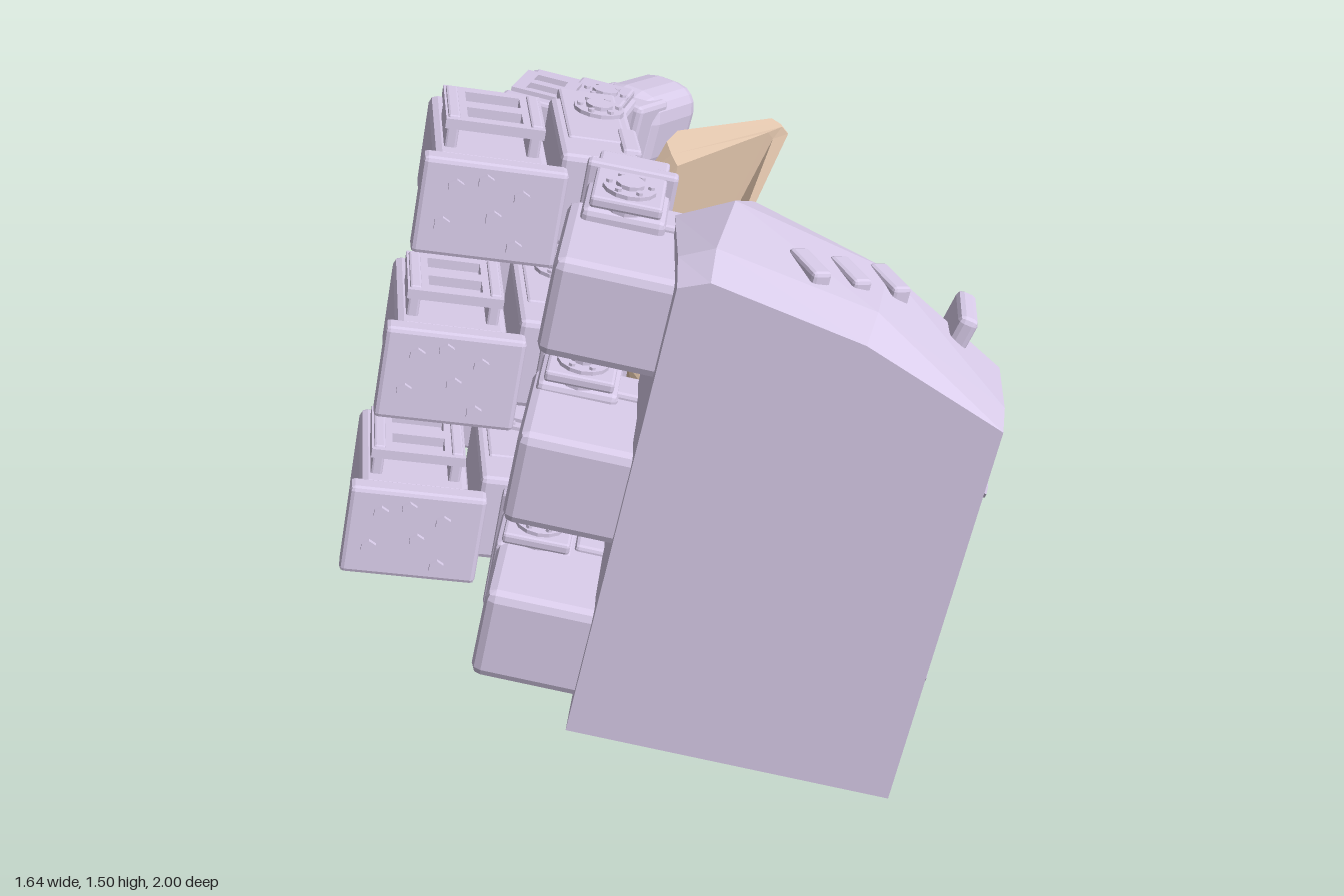
import * as THREE from 'three';
import { RoundedBoxGeometry } from 'three/addons/geometries/RoundedBoxGeometry.js';

const shell = new THREE.MeshStandardMaterial({ color: 0xdacdeb, flatShading: true });
const tan = new THREE.MeshStandardMaterial({ color: 0xf0d2b8, flatShading: true });
const V = (x, y, z) => new THREE.Vector3(x, y, z);

// Palm frame: right, up (the direction the fingers are stacked in), outward normal
const R = V(0.935, -0.197, 0.295), U = V(0.207, 0.971, -0.123), N = V(-0.262, 0.176, 0.949);
const BACK = N.clone().negate();

// Group at a point with local z along forward and local y near up
function frame(name, pos, forward) {
  const z = forward.clone().normalize();
  const x = U.clone().cross(z).normalize();
  const y = z.clone().cross(x);
  const g = new THREE.Group();
  g.name = name;
  g.quaternion.setFromRotationMatrix(new THREE.Matrix4().makeBasis(x, y, z));
  g.position.copy(pos);
  return g;
}

function add(parent, name, geo, x = 0, y = 0, z = 0, mat = shell) {
  const m = new THREE.Mesh(geo, mat);
  m.name = name;
  m.position.set(x, y, z);
  parent.add(m);
  return m;
}

// Box with chamfered edges
function box(parent, name, w, h, d, x, y, z, r = 0.015, seg = 1) {
  return add(parent, name, new RoundedBoxGeometry(w, h, d, seg, r), x, y, z);
}

// Skin through closed loops listed front to back, with both ends capped
function loft(loops) {
  const p = [], n = loops[0].length;
  const tri = (a, b, c) => p.push(...a, ...b, ...c);
  for (let k = 0; k + 1 < loops.length; k++) {
    for (let i = 0; i < n; i++) {
      const j = (i + 1) % n, A = loops[k], B = loops[k + 1];
      tri(A[i], B[i], B[j]);
      tri(A[i], B[j], A[j]);
    }
  }
  const F = loops[0], L = loops[loops.length - 1];
  for (let i = 1; i + 1 < n; i++) {
    tri(F[0], F[i], F[i + 1]);
    tri(L[0], L[i + 1], L[i]);
  }
  const g = new THREE.BufferGeometry();
  g.setAttribute('position', new THREE.Float32BufferAttribute(p, 3));
  g.computeVertexNormals();
  return g;
}

// Rectangular plate with two slots, lying flat in local xz
function slottedPlate(w, d, t) {
  const s = new THREE.Shape([[-w, -d], [w, -d], [w, d], [-w, d]].map(([x, y]) => new THREE.Vector2(x / 2, y / 2)));
  for (const k of [-1, 1]) {
    const c = k * d * 0.23, a = w * 0.28, b = d * 0.14;
    s.holes.push(new THREE.Path([[-a, c - b], [-a, c + b], [a, c + b], [a, c - b]].map(([x, y]) => new THREE.Vector2(x, y))));
  }
  return new THREE.ExtrudeGeometry(s, { depth: t, bevelEnabled: false }).rotateX(-Math.PI / 2);
}

// Joint hub: stepped disc with a ring of bolts, on the local y axis
function hub(parent, x, z, height) {
  const g = new THREE.Group();
  g.name = 'jointHub';
  g.position.set(x, 0, z);
  parent.add(g);
  add(g, 'hubDrum', new THREE.CylinderGeometry(0.065, 0.065, height, 14));
  add(g, 'hubCap', new THREE.CylinderGeometry(0.035, 0.035, height + 0.02, 10));
  for (let i = 0; i < 6; i++) {
    const a = i * Math.PI / 3;
    add(g, 'hubBolt', new THREE.CylinderGeometry(0.009, 0.009, height + 0.015, 6), 0.05 * Math.cos(a), 0, 0.05 * Math.sin(a));
  }
}

function screw(parent, x, y, z) {
  add(parent, 'screw', new THREE.CylinderGeometry(0.021, 0.021, 0.02, 6).rotateX(Math.PI / 2), x, y, z);
}

function makePalm() {
  const g = new THREE.Group();
  g.name = 'palm';
  g.quaternion.setFromRotationMatrix(new THREE.Matrix4().makeBasis(R, U, N));
  g.position.set(0.43, 0.05, 0.99);
  const loop = (z, pts) => pts.map(([x, y]) => [x, y, z]);
  add(g, 'palmShell', loft([
    loop(0, [[0, 0], [0, 1.06], [-0.35, 1.2], [-0.72, 1.27], [-0.79, 1.24], [-0.81, 0]]),
    loop(-0.12, [[0.01, 0.14], [0.01, 1.06], [-0.33, 1.23], [-0.72, 1.3], [-0.8, 1.26], [-0.81, 0.05]]),
    loop(-0.38, [[0.02, 0.13], [0.02, 1.03], [-0.3, 1.22], [-0.69, 1.31], [-0.82, 1.24], [-0.81, 0.1]]),
    loop(-0.49, [[-0.02, 0.2], [-0.01, 0.96], [-0.28, 1.16], [-0.64, 1.27], [-0.68, 1.23], [-0.67, 0.18]]),
  ]));
  // Ribs on the upper edge and screws around the side
  for (const [x, y, z] of [[-0.5, 1.26, -0.2], [-0.4, 1.235, -0.26], [-0.3, 1.21, -0.32]]) {
    box(g, 'topRib', 0.05, 0.05, 0.13, x, y, z, 0.01).rotation.y = 0.5;
  }
  box(g, 'topPeg', 0.05, 0.16, 0.16, -0.11, 1.1, -0.37, 0.015).rotation.z = -0.2;
  for (const [y, z] of [[0.3, -0.12], [0.85, -0.1], [0.5, -0.3]]) {
    add(g, 'sideScrew', new THREE.CylinderGeometry(0.018, 0.018, 0.02, 6).rotateZ(Math.PI / 2), 0.012, y, z);
  }
  // Finger sockets along one side, thumb socket at the lower back
  for (const y of [0.19, 0.64, 1.1]) {
    box(g, 'fingerSocket', 0.33, 0.25, 0.35, -0.905, y, -0.22, 0.025);
    box(g, 'socketFlange', 0.12, 0.28, 0.1, -0.82, y, -0.36, 0.01);
  }
  box(g, 'thumbSocket', 0.37, 0.42, 0.24, -0.16, 0.23, -0.44, 0.03);
  box(g, 'thumbSocketFoot', 0.28, 0.12, 0.2, -0.2, 0.06, -0.42, 0.02);
  return g;
}

// i counts from the top finger down; the fingers converge towards their tips
function makeFinger(i) {
  const g = new THREE.Group();
  g.name = 'finger';
  const at = (x, y, z, dx, dy, dz) => V(x + i * dx, y + i * dy, z + i * dz);

  const knuckle = frame('knuckle', at(-0.09, 1.24, 0.2, -0.125, -0.45, 0.055), BACK);
  box(knuckle, 'knuckleBlock', 0.2, 0.25, 0.24, 0, 0, 0);
  for (const s of [-1, 1]) box(knuckle, 'knuckleFork', 0.17, 0.03, 0.28, 0, s * 0.15, 0.01, 0.008);
  box(knuckle, 'knucklePlate', 0.22, 0.35, 0.04, 0, 0, 0.06, 0.01);
  hub(knuckle, 0, -0.05, 0.35);

  const prox = frame('proximalLink', at(-0.1, 1.17, -0.19, -0.125, -0.435, 0.07), V(0.08, -0.2, -0.95));
  box(prox, 'proximalBody', 0.2, 0.24, 0.42, 0, 0.01, 0.01);
  box(prox, 'proximalMotor', 0.28, 0.25, 0.43, 0.27, -0.01, -0.05, 0.02);
  box(prox, 'motorFrontPlate', 0.35, 0.25, 0.06, 0.26, -0.01, -0.265, 0.012);
  for (const [x, y] of [[0.19, 0.04], [0.35, 0.05], [0.25, -0.02], [0.37, -0.05], [0.19, -0.09], [0.28, 0.07]]) screw(prox, x, y, -0.297);
  add(prox, 'motorBracket', slottedPlate(0.24, 0.24, 0.025), 0.27, 0.165, -0.1);
  for (const s of [-1, 1]) box(prox, 'bracketPost', 0.03, 0.1, 0.22, 0.27 + s * 0.1, 0.145, -0.1, 0.006);
  for (const s of [-1, 1]) {
    box(prox, 'proximalFork', 0.15, 0.03, 0.36, 0, s * 0.12, 0.1, 0.008);
    box(prox, 'innerRib', 0.03, 0.05, 0.1, -0.1, s * 0.06, -0.02, 0.006);
  }
  box(prox, 'cableGuide', 0.05, 0.06, 0.16, -0.08, 0.11, -0.06, 0.01);
  hub(prox, -0.02, 0.14, 0.29);

  const mid = frame('middleLink', at(-0.045, 1.04, -0.54, -0.12, -0.39, 0.035), V(0.16, -0.14, -0.4));
  box(mid, 'middleBody', 0.18, 0.22, 0.34, 0, 0, 0.02);
  box(mid, 'middleMotor', 0.17, 0.23, 0.33, 0.125, 0.01, 0.03, 0.02);
  box(mid, 'middleMotorPlate', 0.18, 0.24, 0.05, 0.13, 0.01, -0.13, 0.01);
  for (const s of [-1, 1]) screw(mid, 0.14 + s * 0.05, 0.01 + s * 0.05, -0.158);
  add(mid, 'middleBracket', slottedPlate(0.15, 0.2, 0.02), 0.13, 0.12, -0.01);
  for (const s of [-1, 1]) box(mid, 'middleFork', 0.15, 0.03, 0.28, 0, s * 0.115, 0.06, 0.008);
  hub(mid, -0.01, 0.09, 0.26);

  const tipX = [0.16, -0.02, -0.11][i];
  const tip = frame('fingertip', at(tipX, 0.9, -0.83, 0, -0.35, 0.015), V(0.22, -0.14, -0.28));
  box(tip, 'tipCollar', 0.18, 0.22, 0.18, 0, 0, -0.14);
  box(tip, 'tipPad', 0.2, 0.25, 0.36, 0, 0, 0, 0.075, 2);
  g.add(knuckle, prox, mid, tip);
  return g;
}

function makeThumb() {
  const g = new THREE.Group();
  g.name = 'thumb';
  const base = frame('thumbBase', V(0.5, 0.33, 0.39), V(0.15, -0.05, -0.95));
  box(base, 'baseBlock', 0.2, 0.27, 0.26, 0, 0, 0);
  box(base, 'basePlate', 0.22, 0.34, 0.05, 0, 0, -0.05, 0.01);
  for (const s of [-1, 1]) box(base, 'baseFork', 0.15, 0.03, 0.26, 0, s * 0.14, 0.05, 0.008);
  hub(base, 0, 0.11, 0.31);

  const lower = frame('thumbLowerLink', V(0.61, 0.32, 0.11), V(0.2, 0.1, -0.9));
  box(lower, 'lowerBody', 0.2, 0.24, 0.34, 0.03, 0, 0);
  box(lower, 'lowerMotor', 0.13, 0.22, 0.26, -0.1, -0.01, -0.02, 0.02);
  box(lower, 'lowerPlate', 0.22, 0.28, 0.04, 0, 0.01, -0.14, 0.01);
  add(lower, 'lowerBracket', slottedPlate(0.18, 0.24, 0.02), -0.04, 0.12, 0);

  const upper = frame('thumbUpperLink', V(0.64, 0.39, -0.17), V(-0.12, 0.14, -0.8));
  box(upper, 'upperBody', 0.2, 0.25, 0.36, 0, 0, 0);
  box(upper, 'upperCover', 0.05, 0.2, 0.2, -0.1, 0, 0.02, 0.01);
  for (const s of [-1, 1]) box(upper, 'upperFork', 0.15, 0.03, 0.34, 0, s * 0.14, 0.06, 0.008);
  hub(upper, 0, -0.02, 0.32);

  const bracket = frame('thumbBracket', V(0.67, 0.45, -0.38), V(-0.14, 0.05, -0.2));
  add(bracket, 'bracketSlots', slottedPlate(0.13, 0.25, 0.2), 0.01, -0.1, 0);

  const tip = frame('thumbTip', V(0.41, 0.49, -0.45), V(-0.25, 0.06, -0.3));
  box(tip, 'thumbTipCollar', 0.2, 0.23, 0.26, 0, 0, -0.11);
  box(tip, 'thumbTipPad', 0.2, 0.25, 0.48, 0, 0, 0.02, 0.075, 2);
  g.add(base, lower, upper, bracket, tip);
  return g;
}

// Half-moon plate pinched between thumb and fingertips, thinning to both points
function makeHeldPlate() {
  const outline = [[0.12, 0.01], [0.18, 0.04], [0.36, 0.44], [0.57, 0.87], [0.55, 0.9], [0.22, 0.89], [0.12, 0.81], [0.05, 0.62], [0.03, 0.38], [0.06, 0.13]];
  const inset = (f, z, slope, low) => outline.map(([x, y]) => {
    const px = 0.25 + (x - 0.25) * f;
    const py = y < 0.55 ? 0.55 + (y - 0.55) * f : y;
    return [px, py, z - Math.max(0, px - 0.33) * slope - Math.max(0, 0.35 - py) * low];
  });
  return loft([
    inset(0.85, -0.62, 0.6, 0.2),
    inset(1, -0.68, 0.3, 0.06),
    inset(1, -0.76, 0, 0),
    inset(0.94, -0.795, 0, -0.08),
  ]);
}

export function createModel() {
  const model = new THREE.Group();
  model.name = 'roboticHand';
  model.add(makePalm(), makeThumb());
  for (let i = 0; i < 3; i++) model.add(makeFinger(i));
  add(model, 'heldPlate', makeHeldPlate(), 0, 0, 0, tan);
  return model;
}
